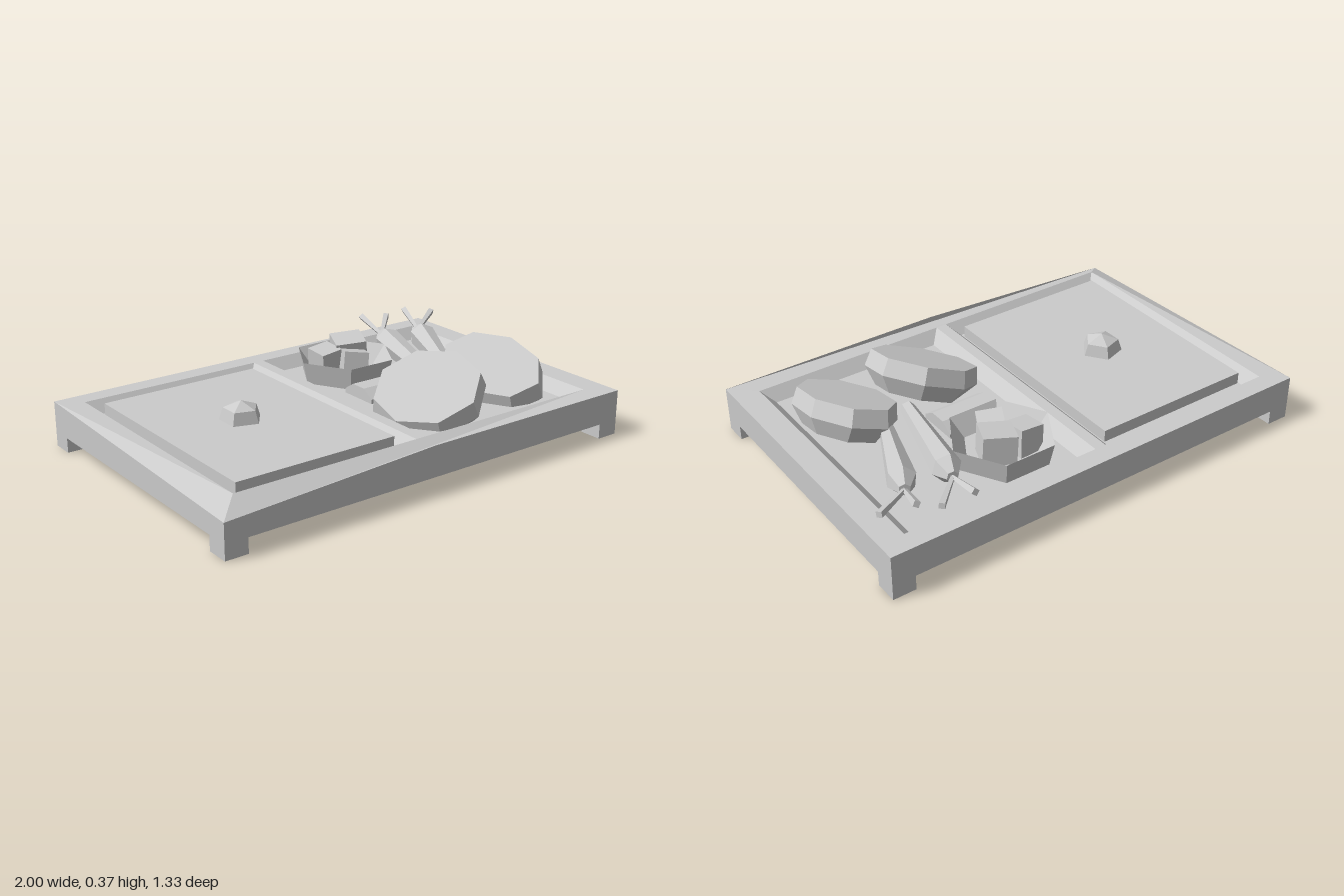
import * as THREE from 'three';

const mat = new THREE.MeshStandardMaterial({ color: 0xcccccc, flatShading: true, side: THREE.DoubleSide });

const V2 = (a) => a.map(([x, y]) => new THREE.Vector2(x, y));

// Faceted turned part, with a corner on +x
const turned = (profile, sides) => new THREE.LatheGeometry(V2(profile), sides, Math.PI / 2);

// Four sloping quads between two rectangles [x0, x1, z0, z1]; upper one first
function slopedRing(a, ya, b, yb) {
  const corners = ([x0, x1, z0, z1], y) => [[x0, y, z0], [x1, y, z0], [x1, y, z1], [x0, y, z1]];
  const A = corners(a, ya), B = corners(b, yb), pos = [];
  for (let i = 0; i < 4; i++) {
    const j = (i + 1) % 4;
    pos.push(...A[i], ...B[i], ...B[j], ...A[i], ...B[j], ...A[j]);
  }
  const g = new THREE.BufferGeometry();
  g.setAttribute('position', new THREE.Float32BufferAttribute(pos, 3));
  g.computeVertexNormals();
  return g;
}

export function createModel() {
  const model = new THREE.Group();

  function add(name, geo, pos = [0, 0, 0], parent = model) {
    const m = new THREE.Mesh(geo, mat);
    m.name = name;
    m.position.set(...pos);
    parent.add(m);
    return m;
  }
  function box(name, x0, x1, y0, y1, z0, z1, parent) {
    return add(name, new THREE.BoxGeometry(x1 - x0, y1 - y0, z1 - z0),
      [(x0 + x1) / 2, (y0 + y1) / 2, (z0 + z1) / 2], parent);
  }

  // Tray
  const tray = new THREE.Group();
  tray.name = 'tray';
  model.add(tray);
  const W = 1, D = 0.665, TOP = 0.2, RIM = 0.065, FLOOR = 0.15, UNDER = 0.1;
  const topY = (x, z) => (x < -0.99 && z > 0.6 ? 0.15 : TOP); // one sunken corner
  const wells = [[-0.9, -0.05, -0.58, 0.57], [0, 0.89, -0.58, 0.57]];
  const inset = ([a, b, c, d], t) => [a + t, b - t, c + t, d - t];

  // Rim top with two openings
  const outline = [[-W, D], [-0.03, D], [W, D], [W, -D], [-0.03, -D], [-W, -D]];
  const rim = new THREE.Shape(V2(outline.map(([x, z]) => [x, -z])));
  for (const [x0, x1, z0, z1] of wells)
    rim.holes.push(new THREE.Path(V2([[x0, -z0], [x1, -z0], [x1, -z1], [x0, -z1]])));
  const rimGeo = new THREE.ShapeGeometry(rim).rotateX(-Math.PI / 2);
  const p = rimGeo.attributes.position;
  for (let i = 0; i < p.count; i++) p.setY(i, topY(p.getX(i), p.getZ(i)));
  add('trayRim', rimGeo, [0, 0, 0], tray);

  // Outer sides
  const sides = [];
  outline.forEach(([x, z], i) => {
    const [u, w] = outline[(i + 1) % outline.length];
    const a = [x, RIM, z], b = [u, RIM, w], c = [u, topY(u, w), w], d = [x, topY(x, z), z];
    sides.push(...a, ...b, ...c, ...a, ...c, ...d);
  });
  const sideGeo = new THREE.BufferGeometry();
  sideGeo.setAttribute('position', new THREE.Float32BufferAttribute(sides, 3));
  sideGeo.computeVertexNormals();
  add('traySides', sideGeo, [0, 0, 0], tray);

  // Well walls and floors
  for (const w of wells) {
    const f = inset(w, 0.05);
    add('wellWall', slopedRing(w, TOP, f, FLOOR), [0, 0, 0], tray);
    box('wellFloor', f[0], f[1], UNDER, FLOOR, f[2], f[3], tray);
  }

  // Underside: bottom edge, sloping skirt, panel and divider rail
  const outer = [-W, W, -D, D], lip = inset(outer, 0.09), panel = inset(outer, 0.13);
  add('bottomEdge', slopedRing(lip, RIM, outer, RIM), [0, 0, 0], tray);
  add('innerSkirt', slopedRing(panel, UNDER, lip, RIM), [0, 0, 0], tray);
  add('underPanel', new THREE.PlaneGeometry(panel[1] - panel[0], panel[3] - panel[2]).rotateX(Math.PI / 2),
    [0, UNDER, 0], tray);
  box('dividerRail', -0.05, 0, 0.07, 0.15, -0.53, 0.53, tray);

  // Feet
  for (const sx of [-1, 1]) for (const sz of [-1, 1])
    add('foot', new THREE.BoxGeometry(0.1, 0.07, 0.1), [sx * 0.95, 0.035, sz * (D - 0.05)], tray);

  // Lid with faceted knob
  box('lid', -0.845, -0.105, 0.15, 0.203, -0.51, 0.5);
  add('lidKnob', turned([[0.092, 0], [0.074, 0.055], [0, 0.085]], 5), [-0.485, 0.2, -0.015]);

  // Bowl with cut cubes
  add('bowl', turned([[0, 0.01], [0.178, 0.01], [0.23, 0.25], [0.165, 0.17], [0, 0.17]], 6), [0.272, 0, -0.32]);
  const cubes = [
    [0.195, 0.22, -0.365, 0.11, 0.05, 0.1],
    [0.33, 0.245, -0.37, 0.14, -0.4, 0.12],
    [0.27, 0.22, -0.25, 0.11, -0.45, -0.2],
  ];
  for (const [x, y, z, s, ry, rx] of cubes)
    add('cube', new THREE.BoxGeometry(s, 0.12, s), [x, y, z]).rotation.set(rx, ry, rx);

  // Faceted roll
  const roll = new THREE.CylinderGeometry(0.1, 0.1, 0.26, 8).rotateY(Math.PI / 8).rotateZ(Math.PI / 2);
  add('roll', roll.scale(1, 0.65, 1), [0.26, 0.145, -0.035]);

  // Two tilted slabs with large flat cut tops
  const up = new THREE.Vector3(0, 1, 0);
  const slabs = [
    [[0.245, 0.275, 0.285], [-0.38, 0.9, 0.2], 0.98, 0.98],
    [[0.655, 0.275, 0.235], [-0.33, 0.92, 0.2], 0.8, 1.08],
  ];
  for (const [pos, n, sx, sz] of slabs) {
    const geo = turned([[0, -0.15], [0.19, -0.15], [0.25, -0.075], [0.235, 0], [0, 0]], 8);
    geo.rotateY(0.25).scale(sx, 1, sz);
    add('slab', geo, pos).quaternion.setFromUnitVectors(up, new THREE.Vector3(...n).normalize());
  }

  // Carrots with two stems each
  function rod(name, a, b, make) {
    const from = new THREE.Vector3(...a), dir = new THREE.Vector3(...b).sub(from);
    const m = add(name, make(dir.length()), a);
    m.quaternion.setFromUnitVectors(up, dir.normalize());
  }
  const carrots = [
    [[0.45, 0.2, 0.1], [0.59, 0.245, -0.45], [[0.605, 0.29, -0.625], [0.74, 0.275, -0.605]]],
    [[0.6, 0.2, 0.02], [0.78, 0.245, -0.41], [[0.825, 0.3, -0.57], [0.955, 0.28, -0.52]]],
  ];
  for (const [tip, head, stems] of carrots) {
    rod('carrot', tip, head, (l) => turned([[0, 0], [0.032, 0], [0.062, l - 0.07], [0.025, l], [0, l]], 6));
    for (const end of stems)
      rod('carrotStem', head, end, (l) => new THREE.CylinderGeometry(0.017, 0.01, l, 4).translate(0, l / 2, 0));
  }

  return model;
}
